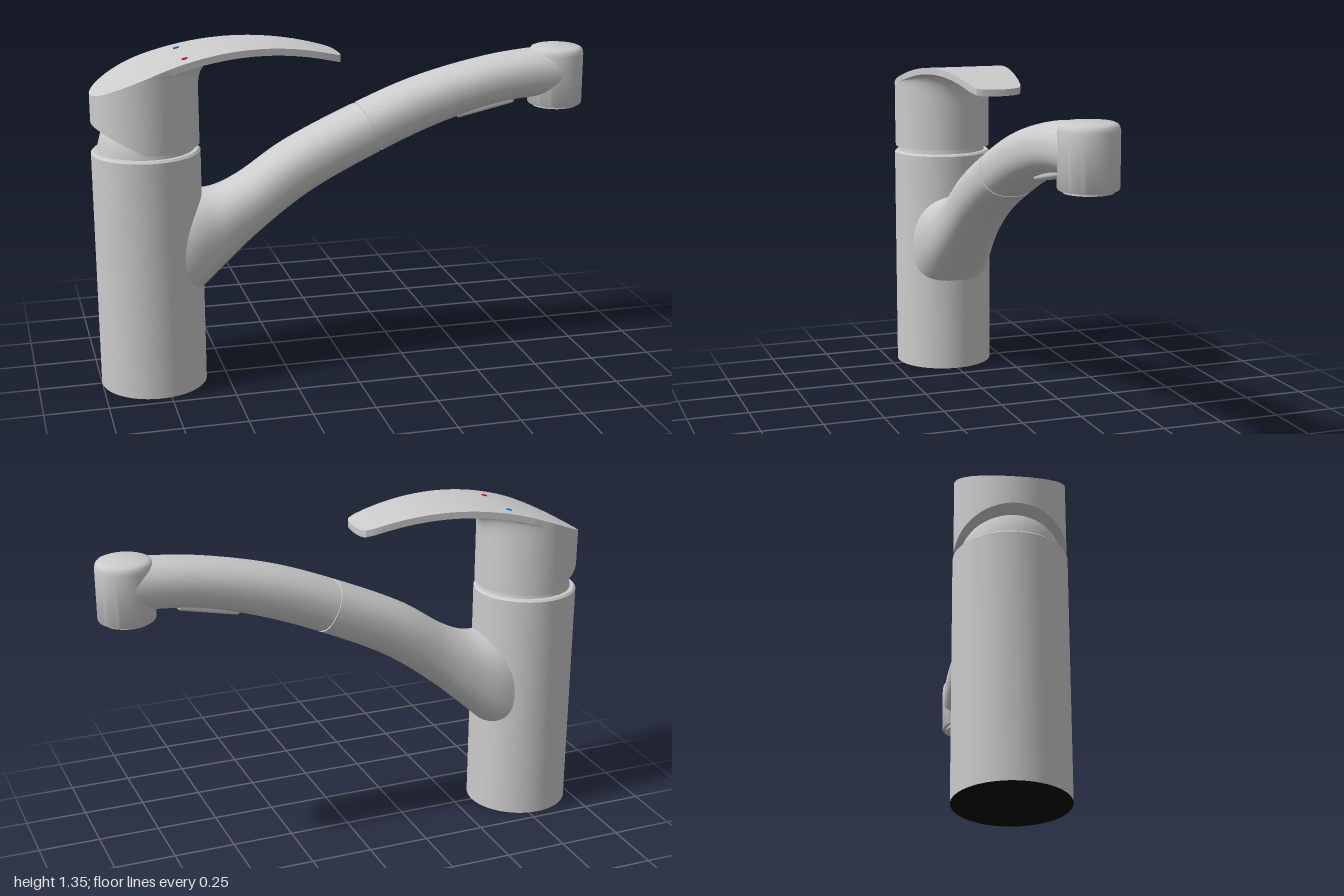
import * as THREE from 'three';
import { toCreasedNormals } from 'three/addons/utils/BufferGeometryUtils.js';
import { RoundedBoxGeometry } from 'three/addons/geometries/RoundedBoxGeometry.js';

const AXIS = -0.79;   // x of the body's axis
const OUTLET = 0.89;  // x of the outlet's axis
const V = (x, y, z = 0) => new THREE.Vector3(x, y, z);

function add(group, name, geometry, color = 0xcccccc) {
  const mesh = new THREE.Mesh(geometry, new THREE.MeshStandardMaterial({ color }));
  mesh.name = name;
  group.add(mesh);
  return mesh;
}

// Skin a list of closed rings, each with the same number of points
function skin(rings, crease) {
  const n = rings[0].length, index = [];
  for (let i = 0; i < rings.length - 1; i++) {
    for (let j = 0; j < n; j++) {
      const a = i * n + j, b = i * n + (j + 1) % n;
      index.push(a, b, b + n, a, b + n, a + n);
    }
  }
  const g = new THREE.BufferGeometry().setFromPoints(rings.flat());
  g.setIndex(index);
  return toCreasedNormals(g, crease);
}

function lathe(points, segments = 72) {
  const g = new THREE.LatheGeometry(points.map(p => new THREE.Vector2(...p)), segments);
  return toCreasedNormals(g, 0.6);
}

// Handle: a round cap with a slanted rear edge, flaring into a flat tapering lever
function handleTop(x) { return 1.355 - 0.445 * (x + 0.38) ** 2; }

function handleGeometry() {
  const N = 112, R = 0.207, taper = 0.14;
  const low = x => Math.max(0.98, 0.98 + (-0.81 - x) * 0.5);
  const under = x => handleTop(x) - 0.027;
  const reach = angle => {
    const a = Math.abs(angle);
    if (a + taper >= Math.PI / 2) return R;
    const side = R / Math.sin(a + taper);
    const z = Math.min(0.12, 0.765 * Math.tan(a));
    const end = (0.765 - 1.2 * z * z) / Math.cos(a);
    return (side ** -28 + end ** -28) ** (-1 / 28);
  };
  const ring = fn => Array.from({ length: N }, (_, j) => {
    const v = -1 + 2 * j / N;
    const angle = Math.sign(v) * Math.PI * v * v; // denser towards the tip
    return fn(angle, reach(angle));
  });
  const at = (angle, r) => V(AXIS + r * Math.cos(angle), 0, -r * Math.sin(angle));
  const rings = [];
  // underside of the cap
  for (const k of [0, 0.5, 1]) {
    rings.push(ring(a => { const p = at(a, R * k); p.y = low(p.x); return p; }));
  }
  // cap wall, then the fillet running out under the lever
  const steps = 24;
  for (let i = 0; i <= steps; i++) {
    const t = i / steps, s = t ** 2.5, e = 1 - (1 - t) ** 4;
    rings.push(ring((a, r) => {
      const wall = at(a, R), p = at(a, R + (r - R) * s);
      const start = THREE.MathUtils.lerp(low(wall.x), under(wall.x), 0.6);
      p.y = THREE.MathUtils.lerp(start, under(p.x), e);
      return p;
    }));
  }
  // upper face
  for (let i = 16; i >= 0; i--) {
    rings.push(ring((a, r) => { const p = at(a, r * i / 16); p.y = handleTop(p.x); return p; }));
  }
  return skin(rings, 0.6);
}

// Spout sections: top x, top y, bottom x, bottom y, half width
const SECTIONS = [
  [-0.72, 0.76, -0.72, 0.28, 0.175],
  [-0.64, 0.775, -0.62, 0.365, 0.172],
  [-0.53, 0.785, -0.5, 0.475, 0.15],
  [-0.43, 0.828, -0.36, 0.598, 0.132],
  [-0.25, 0.945, -0.15, 0.75, 0.126],
  [0.05, 1.085, 0.14, 0.895, 0.123],
  [0.3, 1.18, 0.38, 0.992, 0.119],
  [0.6, 1.25, 0.62, 1.06, 0.115],
  [0.8, 1.273, 0.8, 1.08, 0.112],
  [0.9, 1.277, 0.9, 1.085, 0.109],
];
const topLine = new THREE.CatmullRomCurve3(SECTIONS.map(s => V(s[0], s[1], s[4])));
const bottomLine = new THREE.CatmullRomCurve3(SECTIONS.map(s => V(s[2], s[3], s[4])));

function spoutGeometry(from, to, scale = 1, steps = 30) {
  const N = 56, rings = [];
  const power = v => Math.sign(v) * Math.abs(v) ** 0.87; // slightly squared ellipse
  const ring = (u, k) => {
    const a = topLine.getPoint(u / 9), b = bottomLine.getPoint(u / 9), width = a.z * k;
    a.z = b.z = 0;
    const mid = a.clone().add(b).multiplyScalar(0.5), up = a.sub(mid).multiplyScalar(k);
    return Array.from({ length: N }, (_, j) => {
      const f = 2 * Math.PI * j / N;
      const p = mid.clone().addScaledVector(up, power(Math.cos(f)));
      p.z = width * power(Math.sin(f));
      return p;
    });
  };
  rings.push(ring(from, 0));
  for (let i = 0; i <= steps; i++) rings.push(ring(from + (to - from) * i / steps, scale));
  rings.push(ring(to, 0));
  return skin(rings, 0.7);
}

export function createModel() {
  const model = new THREE.Group();
  model.name = 'kitchenTap';

  // Body column and its dark underside
  add(model, 'body', lathe([
    [0.21, 0], [0.21, 0.952], [0.202, 0.96], [0, 0.96],
  ])).position.x = AXIS;
  const base = add(model, 'bodyUnderside', new THREE.CircleGeometry(0.21, 72), 0x050505);
  base.rotation.x = Math.PI / 2;
  base.position.x = AXIS;

  // Domed neck between body and handle
  add(model, 'neck', lathe([
    [0.186, 0.955], [0.183, 0.985], [0.174, 1.02], [0.16, 1.055], [0.13, 1.09], [0, 1.1],
  ])).position.x = AXIS;

  // Handle with hot and cold marks
  add(model, 'handle', handleGeometry());
  for (const [name, z, color] of [['hotMark', 0.107, 0xdd1111], ['coldMark', -0.11, 0x1177dd]]) {
    const dot = add(model, name, new THREE.CylinderGeometry(0.012, 0.012, 0.006, 20), color);
    dot.position.set(-0.645, handleTop(-0.645), z);
    dot.rotation.z = Math.atan(0.89 * 0.265);
  }

  // Fixed spout arm, pull-out head and the recessed joint between them
  add(model, 'spoutArm', spoutGeometry(0, 4.985, 1, 44));
  add(model, 'spoutJoint', spoutGeometry(4.9, 5.1, 0.96, 3));
  add(model, 'sprayHead', spoutGeometry(5.015, 9));

  // Outlet with a recessed opening
  add(model, 'outlet', lathe([
    [0, 1.06], [0.074, 1.06], [0.074, 1.034], [0.09, 1.034], [0.09, 1.044], [0.106, 1.044],
    [0.11, 1.05], [0.11, 1.25], [0.107, 1.265], [0.1, 1.274], [0.088, 1.279], [0, 1.28],
  ], 56)).position.x = OUTLET;

  // Aerator mesh
  const aerator = new THREE.Group();
  aerator.name = 'aerator';
  aerator.position.set(OUTLET, 1.048, 0);
  model.add(aerator);
  const backing = add(aerator, 'aeratorBacking', new THREE.CircleGeometry(0.074, 32), 0x333333);
  backing.rotation.x = Math.PI / 2;
  for (let i = -4; i <= 4; i++) {
    const offset = i * 0.015, length = 2 * Math.sqrt(0.073 ** 2 - offset ** 2);
    add(aerator, 'aeratorBar', new THREE.BoxGeometry(length, 0.006, 0.005)).position.z = offset;
    add(aerator, 'aeratorBar', new THREE.BoxGeometry(0.005, 0.006, length)).position.x = offset;
  }

  // Spray button under the head
  const button = add(model, 'sprayButton', new RoundedBoxGeometry(0.25, 0.05, 0.085, 4, 0.012));
  button.position.set(0.577, 1.06, 0);
  button.rotation.z = 0.21;

  return model;
}
